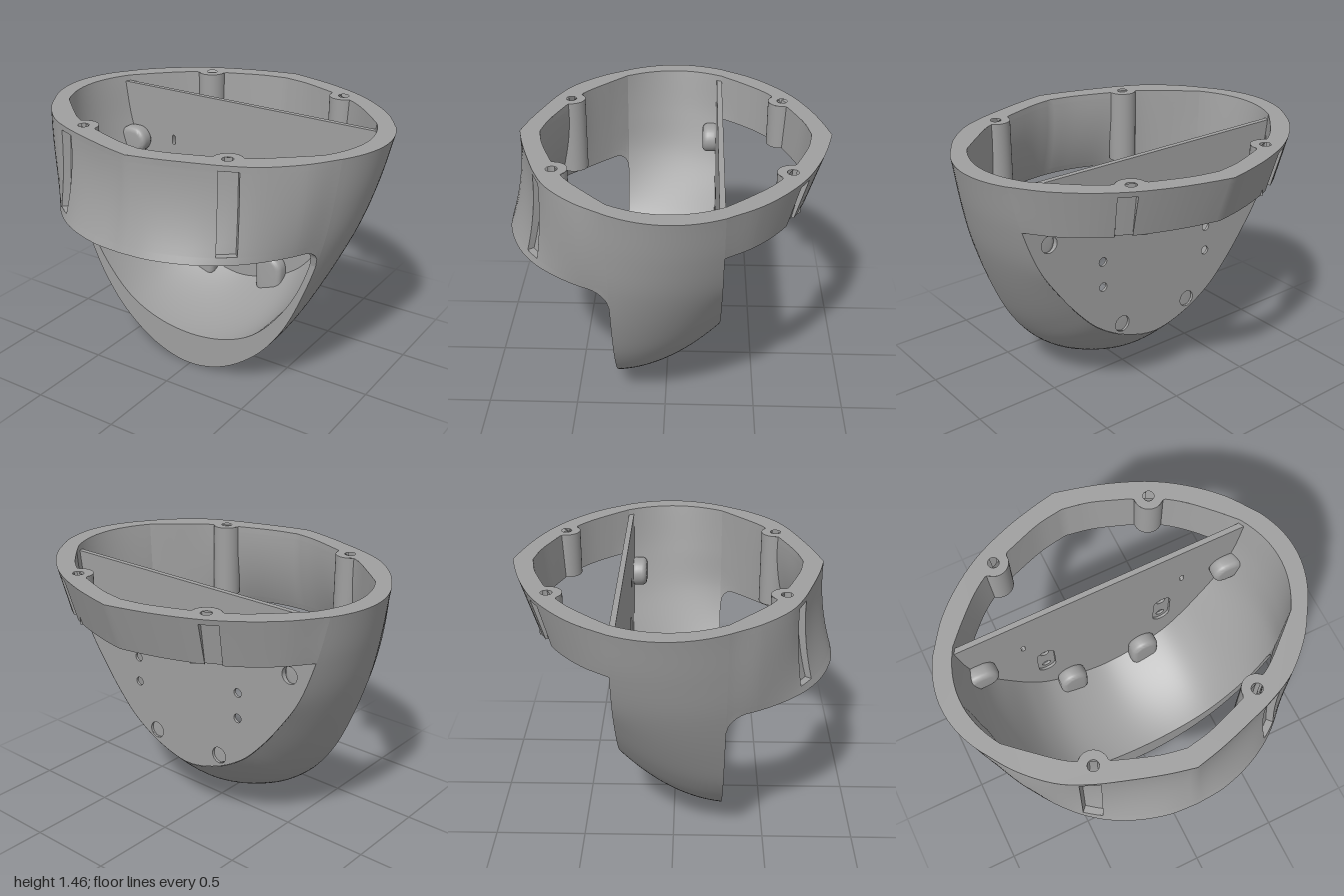
import * as THREE from 'three';
import { toCreasedNormals } from 'three/addons/utils/BufferGeometryUtils.js';

const TOP = 1.46, FRONT = 0.27, BACK = -0.3;
const lerp = THREE.MathUtils.lerp;
const V = (x, y, z) => new THREE.Vector3(x, y, z);
const range = (a, b, n) => Array.from({ length: n + 1 }, (_, i) => lerp(a, b, i / n));
const mixed = (...lists) => [...new Set(lists.flat())].sort((a, b) => a - b);

// Half profiles (x, y) of the bowl at z = FRONT, 0 and BACK
const OUTER = [
  [[0, 0], [.22, .05], [.44, .2], [.6, .4], [.72, .65], [.825, .96], [.875, 1.2], [.91, TOP]],
  [[0, .1], [.24, .165], [.45, .29], [.6, .46], [.735, .68], [.865, .96], [.94, 1.2], [1, TOP]],
  [[0, .34], [.21, .39], [.4, .5], [.53, .63], [.655, .79], [.765, .96], [.86, 1.2], [.93, TOP]],
];
const INNER = [
  [[0, .2], [.22, .23], [.4, .31], [.54, .44], [.685, .66], [.785, .96], [.8, 1.2], [.81, TOP]],
  [[0, .24], [.2, .27], [.39, .35], [.53, .48], [.67, .7], [.79, .96], [.85, 1.2], [.9, TOP]],
  [[0, .37], [.19, .41], [.37, .5], [.49, .63], [.6, .79], [.7, .96], [.78, 1.2], [.82, TOP]],
];

// Plan points (x, z) from the middle outwards, at the top and bottom of each collar half
const COLLAR = {
  front: {
    z: FRONT, low: .96, groove: [.455, .56, .08, .94],
    outer: [[[0, .8], [.15, .765], [.33, .71], [.5, .65], [.645, .575], [.8, .43]],
      [[0, .87], [.17, .855], [.37, .79], [.52, .7], [.64, .585], [.75, .43]]],
    inner: [[[0, .69], [.13, .665], [.28, .615], [.43, .555], [.55, .495], [.7, .37]],
      [[0, .77], [.15, .755], [.33, .7], [.45, .62], [.56, .51], [.69, .38]]],
  },
  back: {
    z: BACK, low: 1.2, groove: [.475, .56, 0, .885],
    outer: [[[0, -.88], [.13, -.85], [.3, -.8], [.5, -.715], [.66, -.61], [.81, -.47]],
      [[0, -.79], [.13, -.765], [.29, -.72], [.48, -.645], [.62, -.56], [.755, -.44]]],
    inner: [[[0, -.77], [.14, -.745], [.27, -.7], [.46, -.62], [.59, -.535], [.72, -.41]],
      [[0, -.75], [.14, -.725], [.265, -.685], [.45, -.61], [.575, -.525], [.7, -.4]]],
  },
};

// Surface over a grid of parameters, leaving out the cells that skip() picks
function sheet(fn, us, vs, skip = () => false) {
  const pos = [], idx = [], n = vs.length;
  us.forEach(u => vs.forEach(v => pos.push(...fn(u, v))));
  for (let i = 0; i < us.length - 1; i++) for (let j = 0; j < n - 1; j++) {
    if (skip((us[i] + us[i + 1]) / 2, (vs[j] + vs[j + 1]) / 2)) continue;
    const a = i * n + j, b = a + n;
    idx.push(a, b, b + 1, a, b + 1, a + 1);
  }
  const g = new THREE.BufferGeometry();
  g.setAttribute('position', new THREE.Float32BufferAttribute(pos, 3));
  g.setIndex(idx);
  g.computeVertexNormals();
  return g;
}

// Whole U-shaped section of the bowl at depth z
const cache = new Map();
function section(table, z) {
  const key = (table === OUTER ? 'o' : 'i') + z.toFixed(4);
  if (!cache.has(key)) {
    const [a, b, c] = [FRONT, 0, BACK];
    const w = [(z - b) * (z - c) / ((a - b) * (a - c)), (z - a) * (z - c) / ((b - a) * (b - c)), (z - a) * (z - b) / ((c - a) * (c - b))];
    const half = table[0].map((_, i) => [0, 1].map(k => table.reduce((s, t, j) => s + w[j] * t[i][k], 0)));
    const left = half.slice(1).reverse().map(([x, y]) => V(-x, y, z));
    cache.set(key, new THREE.CatmullRomCurve3([...left, ...half.map(([x, y]) => V(x, y, z))]).getPoints(112));
  }
  return cache.get(key);
}
// Look up one axis of a section from the other, on its +x half
function along(table, z, from, to, value) {
  const p = section(table, z);
  let i = 57;
  while (i < 112 && p[i][from] < value) i++;
  const t = (value - p[i - 1][from]) / (p[i][from] - p[i - 1][from]);
  return lerp(p[i - 1][to], p[i][to], THREE.MathUtils.clamp(t, 0, 1));
}

// Point on a collar wall: u runs side to side, d from outer (0) to inner (1) face
function collarPoint(c, u, v, d) {
  const wall = (side, y) => {
    let k = Math.min(1, (TOP - y) / (TOP - c.low));
    if (c.z > 0) k = 1.35 * k * k - .35 * k;
    const pts = c[side][0].map((p, i) => V(lerp(p[0], c[side][1][i][0], k), y, lerp(p[1], c[side][1][i][1], k)));
    pts.push(V(along(side === 'outer' ? OUTER : INNER, c.z, 'y', 'x', y), y, c.z));
    return new THREE.CatmullRomCurve3(pts).getPoint(Math.abs(u));
  };
  let low = c.low;
  if (c.z > 0) { // rounded corner under the front collar
    const s = Math.max(0, .38 - wall('outer', low).z);
    low -= .11 - Math.sqrt(Math.max(0, .0121 - s * s));
  }
  const y = lerp(low, TOP, v), p = wall('outer', y).lerp(wall('inner', y), d);
  return [p.x * Math.sign(u), p.y, p.z];
}

// Flat pill shape
function pill(cx, cy, w, h, C = THREE.Shape) {
  const r = Math.min(w, h) / 2, s = new C(), dx = w / 2 - r, dy = h / 2 - r;
  s.setFromPoints(range(0, Math.PI * 2, 32).slice(0, -1).map(a => new THREE.Vector2(
    cx + Math.cos(a) * r + Math.sign(Math.round(Math.cos(a) * 99)) * dx,
    cy + Math.sin(a) * r + Math.sign(Math.round(Math.sin(a) * 99)) * dy)));
  return s;
}

export function createModel() {
  const model = new THREE.Group();
  const grey = new THREE.MeshStandardMaterial({ color: 0xa0a0a0, side: THREE.DoubleSide });
  grey.name = 'grey';
  const add = (name, geo, x = 0, y = 0, z = 0) => {
    const m = new THREE.Mesh(geo, grey);
    m.name = name;
    m.position.set(x, y, z);
    model.add(m);
  };

  // Bowl walls and front rim
  const steps = Array.from({ length: 113 }, (_, i) => i), zs = range(BACK, FRONT, 18);
  for (const [name, table] of [['bowlOuter', OUTER], ['bowlInner', INNER]])
    add(name, sheet((i, z) => section(table, z)[i].toArray(), steps, zs));
  add('bowlRim', sheet((i, d) => section(OUTER, FRONT)[i].clone().lerp(section(INNER, FRONT)[i], d).toArray(), steps, [0, 1]));

  // Collar halves with screw grooves cut into the outside
  const DEPTH = .35;
  for (const [name, c] of Object.entries(COLLAR)) {
    const [a, b, v0, v1] = c.groove;
    const us = mixed(range(-1, 1, 64), range(-1, -.83, 14), range(.83, 1, 14), [-b, -a, a, b]);
    const vs = mixed(range(0, 1, 14), [v0, v1]);
    const cut = (u, v) => Math.abs(u) > a && Math.abs(u) < b && v > v0 && v < v1;
    add(name + 'CollarOuter', sheet((u, v) => collarPoint(c, u, v, 0), us, vs, cut));
    add(name + 'CollarInner', sheet((u, v) => collarPoint(c, u, v, 1), us, vs));
    add(name + 'CollarUnderside', sheet((u, d) => collarPoint(c, u, 0, d), us, [0, DEPTH, 1],
      (u, d) => v0 === 0 && d < DEPTH && cut(u, .1)));
    for (const s of [-1, 1]) {
      const gu = range(a * s, b * s, 3), gv = range(v0, v1, 8);
      add(name + 'GrooveFloor', sheet((u, v) => collarPoint(c, u, v, DEPTH), gu, gv));
      for (const u of [a * s, b * s]) add(name + 'GrooveSide', sheet((v, d) => collarPoint(c, u, v, d), gv, [0, DEPTH]));
      for (const v of v0 ? [v0, v1] : [v1]) add(name + 'GrooveEnd', sheet((u, d) => collarPoint(c, u, v, d), gu, [0, DEPTH]));
    }
  }

  // Flat top ring, widened around the four screw posts
  const R = .08, posts = [[.45, .57, .43], [-.45, .57, .43], [.45, -.64, .26], [-.45, -.64, .26]];
  const outline = d => {
    const table = d ? INNER : OUTER, u = range(-1, 1, 160);
    const side = range(FRONT, BACK, 18).slice(1, -1).map(z => [section(table, z)[112].x, 0, z]);
    return [...u.map(t => collarPoint(COLLAR.front, t, 1, d)), ...side,
      ...u.map(t => collarPoint(COLLAR.back, -t, 1, d)), ...side.map(p => [-p[0], 0, p[2]]).reverse()]
      .map(p => new THREE.Vector2(p[0], -p[2]));
  };
  const hole = outline(1).map(p => {
    for (const [x, z] of posts) {
      const c = new THREE.Vector2(x, -z), n = c.clone().normalize().negate(), t = new THREE.Vector2(-n.y, n.x);
      const q = p.clone().sub(c), s = q.dot(t), e = q.dot(n);
      if (Math.abs(s) < R && Math.abs(e) < .2)
        return c.addScaledVector(t, s).addScaledVector(n, Math.max(e, Math.sqrt(R * R - s * s)));
    }
    return p;
  });
  const ring = new THREE.Shape(outline(0));
  ring.holes.push(new THREE.Path(hole), ...posts.map(([x, z]) => pill(x, -z, .06, .06, THREE.Path)));
  add('topRing', new THREE.ShapeGeometry(ring).rotateX(-Math.PI / 2), 0, TOP, 0);

  // Hollow screw posts, half sunk into the collar wall
  const ARC = Math.PI * 1.1;
  for (const [x, z, h] of posts) {
    const turn = Math.atan2(-x, -z) - ARC / 2, flat = Math.atan2(-z, -x) - ARC / 2;
    add('screwPost', new THREE.CylinderGeometry(R, R, h, 24, 1, true, turn, ARC), x, TOP - h / 2, z);
    add('screwBore', new THREE.CylinderGeometry(.03, .03, h, 16, 1, true, turn, ARC), x, TOP - h / 2, z);
    add('postEnd', new THREE.RingGeometry(.03, R, 24, 1, flat, ARC).rotateX(Math.PI / 2), x, TOP - h, z);
  }

  // Back plate in two layers: small holes behind, pill-shaped recesses in front
  const edge = section(OUTER, BACK).filter(p => p.y < 1.45).map(p => new THREE.Vector2(p.x * .998, p.y + .001));
  for (const [name, z] of [['backPlate', BACK], ['backPlateFace', BACK + .015]]) {
    const plate = new THREE.Shape(edge);
    for (const s of [-1, 1]) {
      if (z === BACK) for (const y of [.74, .89]) plate.holes.push(pill(s * .365, y, .05, .05, THREE.Path));
      else plate.holes.push(pill(s * .365, .815, .105, .26, THREE.Path));
      plate.holes.push(pill(s * .235, .47, .095, .095, THREE.Path), pill(s * .7, 1.09, .095, .095, THREE.Path));
      plate.holes.push(pill(s * .48, 1.12, .022, .06, THREE.Path));
    }
    add(name, toCreasedNormals(new THREE.ExtrudeGeometry(plate, { depth: .015, bevelEnabled: false }), .5), 0, 0, z);
  }

  // Rounded screw bosses inside the plate, trimmed where they sink into the bowl
  const bossShape = (cx, cy, w, h, trim) => {
    const g = new THREE.ExtrudeGeometry(pill(cx, cy, w, h), { depth: .035, bevelThickness: .03, bevelSize: .03, bevelSegments: 4 });
    g.translate(0, 0, -.255);
    const p = g.attributes.position;
    for (let i = 0; i < p.count; i++) trim(p, i, Math.abs(p.getX(i)), p.getY(i), p.getZ(i));
    return toCreasedNormals(g, .7);
  };
  const raise = (p, i, x, y, z) => p.setY(i, Math.max(y, along(INNER, z, 'x', 'y', x) - .01));
  const narrow = (p, i, x, y, z) => p.setX(i, Math.sign(p.getX(i)) * Math.min(x, along(INNER, z, 'y', 'x', y) + .02));
  for (const s of [-1, 1]) {
    add('lowerBoss', bossShape(s * .235, .425, .11, .21, raise));
    add('upperBoss', bossShape(s * .745, 1.09, .13, .1, narrow));
  }
  return model;
}
